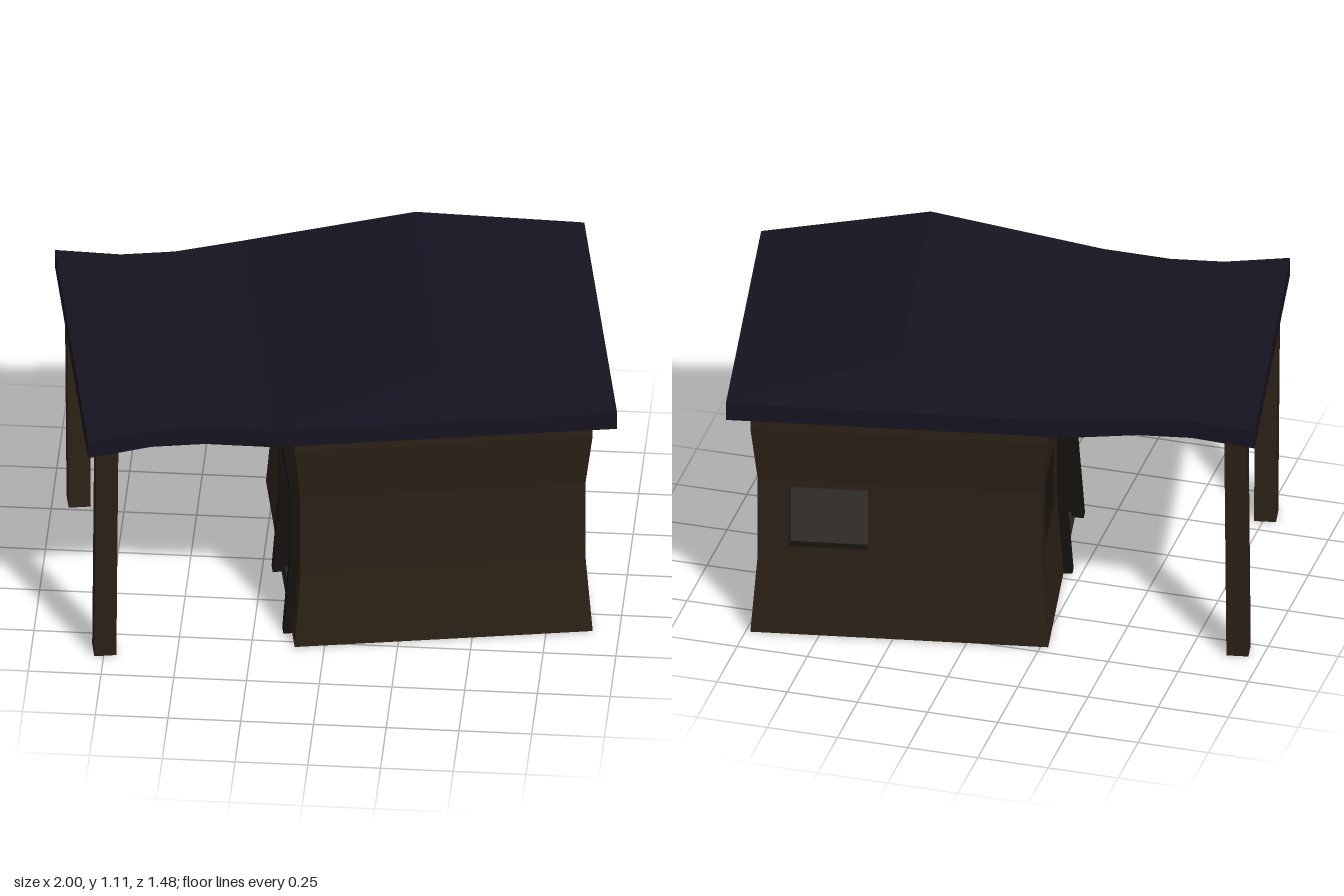
import * as THREE from 'three';

const mat = (color) => new THREE.MeshStandardMaterial({ color, flatShading: true, side: THREE.DoubleSide });
const WALL = mat(0x2b2015), INNER = mat(0xcc9769), ROOF = mat(0x15131f), TRIM = mat(0x14110d), FLOOR = mat(0x2e2a26);

// Wall half-width at a height: pinched in the middle, flared at foot and top
const LEVELS = [[0.005, 0.513], [0.3, 0.49], [0.6, 0.49], [0.81, 0.513], [0.885, 0.513]];
function half(y) {
  for (let i = 1; i < LEVELS.length; i++) {
    const [y0, h0] = LEVELS[i - 1], [y1, h1] = LEVELS[i];
    if (y <= y1) return h0 + (h1 - h0) * Math.max(0, (y - y0) / (y1 - y0));
  }
  return 0.513;
}

function mesh(name, geometry, material) {
  const m = new THREE.Mesh(geometry, material);
  m.name = name;
  return m;
}

// Faces with 3 or 4 corners, counter-clockwise from outside
function faceMesh(name, faces, material) {
  const pos = [];
  for (const f of faces)
    for (let i = 2; i < f.length; i++) pos.push(...f[0], ...f[i - 1], ...f[i]);
  const g = new THREE.BufferGeometry();
  g.setAttribute('position', new THREE.Float32BufferAttribute(pos, 3));
  g.computeVertexNormals();
  return mesh(name, g, material);
}

// Wall facing +z, as a grid of cells left open at the holes [u0, u1, y0, y1]
function wall(name, holes, angle) {
  const T = 0.035, END = 0.5;
  const sorted = (a) => [...new Set(a)].sort((p, q) => p - q);
  const us = sorted([-END, END, ...holes.flatMap((h) => [h[0], h[1]])]);
  const ys = sorted([...LEVELS.map((l) => l[0]), ...holes.flatMap((h) => [h[2], h[3]])]);
  const point = (u, y, depth) => {
    const h = half(y) - depth;
    return [Math.abs(u) === END ? Math.sign(u) * h : u, y, h];
  };
  const open = (i, j) => {
    if (i < 0 || j < 0 || i > us.length - 2 || j > ys.length - 2) return false;
    const u = (us[i] + us[i + 1]) / 2, y = (ys[j] + ys[j + 1]) / 2;
    return holes.some((h) => u > h[0] && u < h[1] && y > h[2] && y < h[3]);
  };
  const outer = [], inner = [], reveal = [];
  for (let i = 0; i < us.length - 1; i++) for (let j = 0; j < ys.length - 1; j++) {
    const c = [[us[i], ys[j]], [us[i + 1], ys[j]], [us[i + 1], ys[j + 1]], [us[i], ys[j + 1]]];
    if (!open(i, j)) {
      outer.push(c.map((p) => point(...p, 0)));
      inner.push(c.map((p) => point(...p, T)).reverse());
      continue;
    }
    [[0, -1], [1, 0], [0, 1], [-1, 0]].forEach(([di, dj], k) => {
      if (open(i + di, j + dj)) return;
      const a = c[k], b = c[(k + 1) % 4];
      reveal.push([point(...a, 0), point(...b, 0), point(...b, T), point(...a, T)]);
    });
  }
  const g = new THREE.Group();
  g.name = name;
  g.add(faceMesh('outerWall', outer, WALL), faceMesh('innerWall', inner, INNER));
  if (reveal.length) g.add(faceMesh('openingReveals', reveal, TRIM));
  g.rotation.y = angle;
  return g;
}

// Door frame piece that follows the curve of the wall
function framePiece(name, w, h, u, y) {
  const g = new THREE.BoxGeometry(w, h, 0.07, 1, 6, 1);
  g.translate(u, y, 0);
  const p = g.attributes.position;
  for (let i = 0; i < p.count; i++) p.setZ(i, p.getZ(i) + half(p.getY(i)) - 0.005);
  return mesh(name, g, TRIM);
}

function roof() {
  const Y0 = 0.885, Y1 = 0.95, YR = 1.11;
  // stations along the roof: x, half-width
  const st = [[-0.912, 0.594], [-0.69, 0.545], [-0.505, 0.545], [-0.27, 0.588], [0.91, 0.588]];
  const back = [0.317, YR, -0.472], front = [0.317, YR, 0.508];
  const faces = [];
  for (let i = 0; i < st.length - 1; i++) {
    const [xa, wa] = st[i], [xb, wb] = st[i + 1];
    if (i < 3) faces.push([[xa, Y1, wa], [xb, Y1, wb], [xb, Y1, -wb], [xa, Y1, -wa]]);
    faces.push(
      [[xa, Y0, -wa], [xb, Y0, -wb], [xb, Y0, wb], [xa, Y0, wa]],
      [[xa, Y0, wa], [xb, Y0, wb], [xb, Y1, wb], [xa, Y1, wa]],
      [[xb, Y0, -wb], [xa, Y0, -wa], [xa, Y1, -wa], [xb, Y1, -wb]]);
  }
  const [xl, wl] = st[0], [xm, w] = st[3], xr = st[4][0];
  faces.push(
    // end edges
    [[xl, Y0, -wl], [xl, Y0, wl], [xl, Y1, wl], [xl, Y1, -wl]],
    [[xr, Y0, w], [xr, Y0, -w], [xr, Y1, -w], [xr, Y1, w]],
    // two slopes and two steep hips
    [[xm, Y1, w], front, back, [xm, Y1, -w]],
    [[xr, Y1, w], [xr, Y1, -w], back, front],
    [[xm, Y1, w], [xr, Y1, w], front],
    [[xr, Y1, -w], [xm, Y1, -w], back]);
  return faceMesh('roof', faces, ROOF);
}

// Porch post leaning outward towards the top
function post(name, side) {
  const H = 0.89, g = new THREE.BoxGeometry(0.076, H, 0.076);
  g.translate(0, H / 2, 0);
  const p = g.attributes.position;
  for (let i = 0; i < p.count; i++)
    p.setZ(i, p.getZ(i) + side * (0.458 + 0.07 * p.getY(i) / H));
  g.translate(-0.843, 0, 0);
  return mesh(name, g, WALL);
}

export function createModel() {
  const model = new THREE.Group();
  model.name = 'hut';

  const body = new THREE.Group();
  body.name = 'house';
  body.position.x = 0.32;
  const Q = Math.PI / 2, W0 = 0.34, W1 = 0.575;
  body.add(
    wall('frontWall', [], 0),
    wall('leftWall', [[-0.3, -0.03, W0, W1]], Q),
    wall('backWall', [[-0.38, -0.11, W0, W1]], 2 * Q));
  const porchWall = wall('porchWall', [[-0.39, -0.12, W0, W1], [0.04, 0.38, 0.005, 0.56]], -Q);
  porchWall.add(
    framePiece('doorPost', 0.04, 0.6, 0.02, 0.3),
    framePiece('doorPost', 0.04, 0.6, 0.4, 0.3),
    framePiece('doorLintel', 0.34, 0.04, 0.21, 0.58));
  body.add(porchWall);

  // floor slab, its underside in the wall colour
  const floor = mesh('floor', new THREE.BoxGeometry(1.0, 0.012, 1.0), FLOOR);
  floor.position.y = 0.014;
  const base = mesh('floorUnderside', new THREE.PlaneGeometry(1.026, 1.026), WALL);
  base.rotation.x = Q;
  base.position.y = 0.005;
  body.add(floor, base);

  model.add(body, roof(), post('frontPost', 1), post('backPost', -1));

  // the whole hut stands turned by ten degrees
  model.rotation.y = Math.PI / 18;
  const root = new THREE.Group();
  root.name = 'hutRoot';
  root.add(model);
  return root;
}
